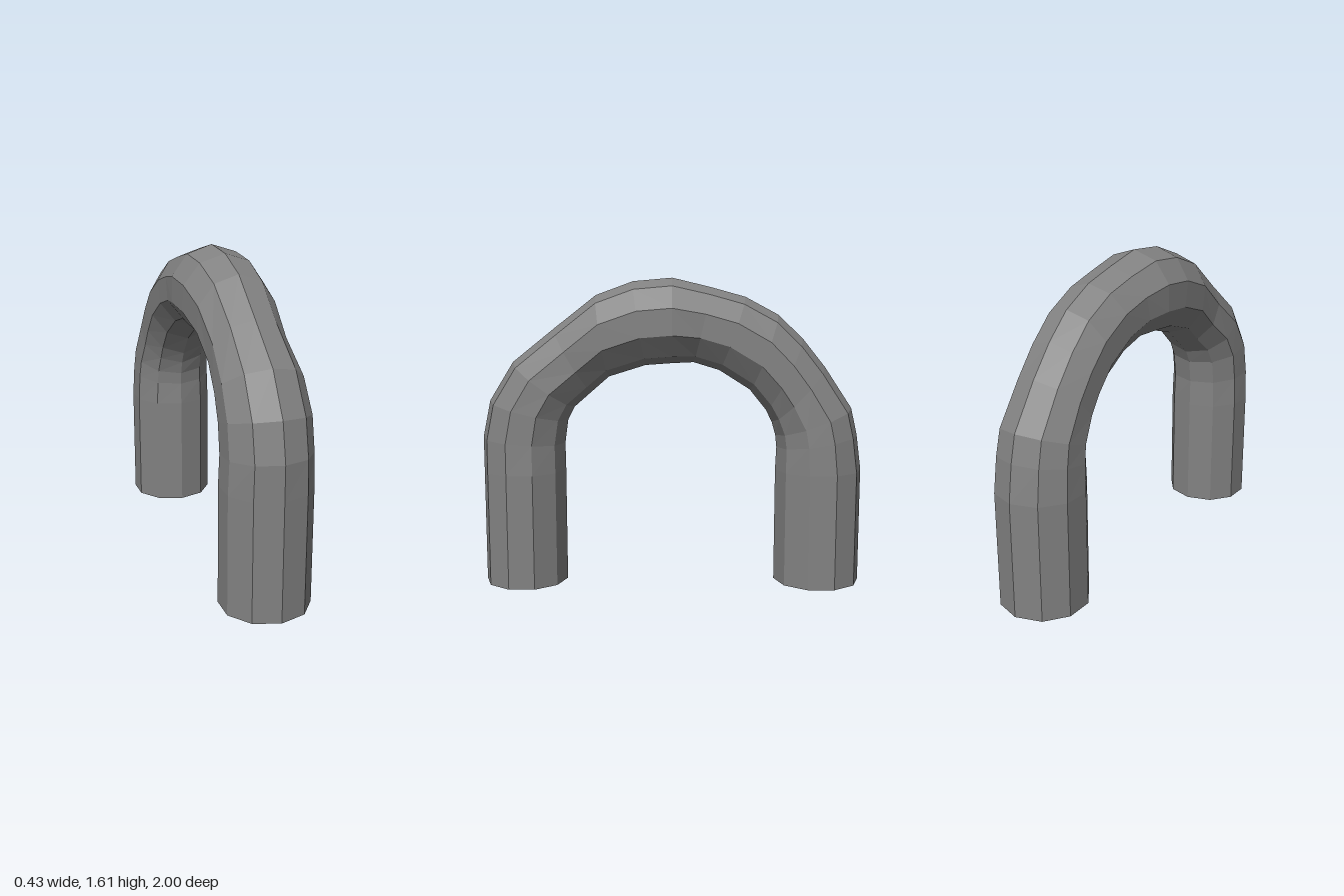
import * as THREE from 'three';

const SIDES = 10;

// Rings along the arch: outer z, outer y, inner z, inner y, half width in x
const RINGS = [
  [1.0, 0, 0.565, 0, 0.213],
  [1.0, 0.6, 0.565, 0.6, 0.213],
  [1.0, 0.775, 0.567, 0.742, 0.207],
  [0.96, 0.967, 0.55, 0.865, 0.206],
  [0.835, 1.17, 0.514, 0.935, 0.2],
  [0.617, 1.345, 0.423, 1.015, 0.184],
  [0.397, 1.517, 0.332, 1.094, 0.196],
  [0.204, 1.588, 0.14, 1.154, 0.207],
  [0, 1.606, 0, 1.164, 0.21],
  [-0.2, 1.558, -0.112, 1.169, 0.194],
  [-0.38, 1.508, -0.246, 1.128, 0.191],
  [-0.55, 1.417, -0.407, 1.026, 0.191],
  [-0.68, 1.294, -0.493, 0.919, 0.191],
  [-0.8, 1.144, -0.525, 0.855, 0.192],
  [-0.943, 0.928, -0.545, 0.785, 0.202],
  [-0.975, 0.79, -0.552, 0.72, 0.208],
  [-1.0, 0.603, -0.547, 0.6, 0.214],
  [-1.0, 0, -0.547, 0, 0.214],
];

// Ten-sided tube through the rings, with flat end caps
function archGeometry() {
  const positions = [];
  const indices = [];
  const widest = Math.sin((2 * Math.PI * 2) / SIDES);

  for (const [zo, yo, zi, yi, halfWidth] of RINGS) {
    for (let j = 0; j < SIDES; j++) {
      const a = (j / SIDES) * Math.PI * 2;
      const t = (1 + Math.cos(a)) / 2;
      positions.push(
        (halfWidth / widest) * Math.sin(a),
        yi + (yo - yi) * t,
        zi + (zo - zi) * t
      );
    }
  }

  for (let i = 0; i < RINGS.length - 1; i++) {
    for (let j = 0; j < SIDES; j++) {
      const k = (j + 1) % SIDES;
      const a = i * SIDES + j, b = i * SIDES + k;
      indices.push(a, b, b + SIDES, a, b + SIDES, a + SIDES);
    }
  }

  // Feet
  const last = (RINGS.length - 1) * SIDES;
  for (let j = 1; j < SIDES - 1; j++) {
    indices.push(0, j + 1, j);
    indices.push(last, last + j, last + j + 1);
  }

  const geometry = new THREE.BufferGeometry();
  geometry.setAttribute('position', new THREE.Float32BufferAttribute(positions, 3));
  geometry.setIndex(indices);
  const flat = geometry.toNonIndexed();
  flat.computeVertexNormals();
  return flat;
}

export function createModel() {
  const group = new THREE.Group();
  group.name = 'archedPipe';
  // Dark grey
  const material = new THREE.MeshStandardMaterial({ color: 0x828282, flatShading: true });
  const arch = new THREE.Mesh(archGeometry(), material);
  arch.name = 'archTube';
  group.add(arch);
  return group;
}
